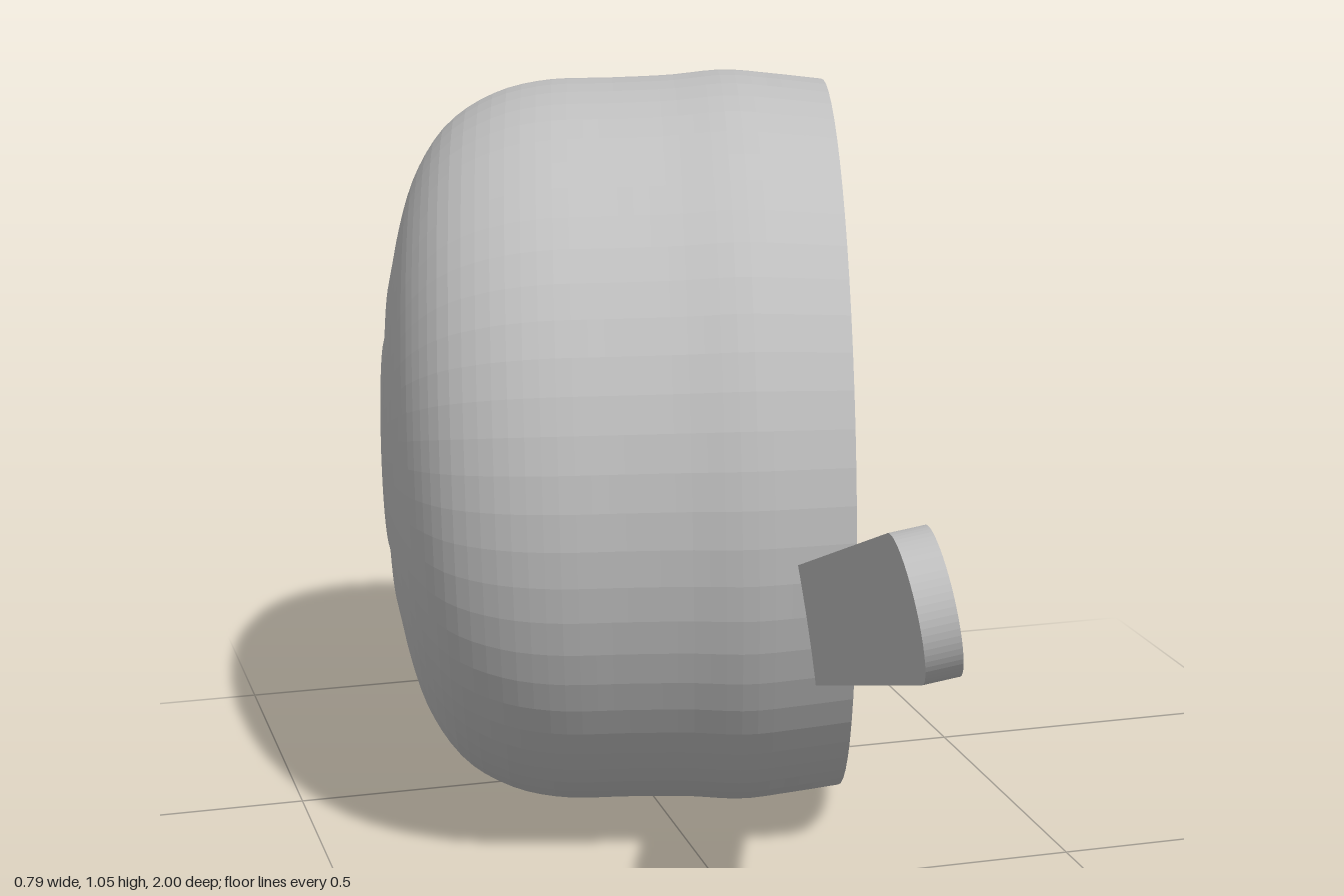
import * as THREE from 'three';

const WALL = 0.03;

// Outer silhouette as [radius, distance from the rim plane], base centre to rim
const outline = [
  [0.0, -0.64], [0.1, -0.638], [0.2, -0.63], [0.3, -0.612], [0.39, -0.583],
  [0.46, -0.535], [0.5, -0.47], [0.517, -0.4], [0.519, -0.3], [0.521, -0.22],
  [0.527, -0.14], [0.52, -0.07], [0.511, 0.0],
];

// Shallow concentric rings pressed into the base, fading outwards
const ripple = (r) => 0.006 * Math.cos((r * Math.PI * 2) / 0.095) * Math.max(0, 1 - r / 0.3);

function wallProfile() {
  const curve = new THREE.CatmullRomCurve3(outline.map(([r, y]) => new THREE.Vector3(r, y, 0)));
  const outer = curve.getSpacedPoints(48).map((p) => {
    const r = Math.max(0, p.x);
    return new THREE.Vector2(r, p.y + (p.y < -0.56 ? ripple(r) : 0));
  });
  // Inner wall: the outer one shrunk by the wall thickness, walked back down
  const inner = outer.map((p) => {
    const s = (0.511 - WALL) / 0.511;
    return new THREE.Vector2(p.x * s, p.y * (1 - WALL / 0.64));
  }).reverse();
  return [...outer, ...inner];
}

export function createModel() {
  const group = new THREE.Group();
  group.name = 'saucepan';
  const metal = new THREE.MeshStandardMaterial({ color: 0xbfbfbf, flatShading: true });
  metal.name = 'grey metal';

  // Bowl, lying on its side with the opening towards +x
  const bowl = new THREE.Mesh(new THREE.LatheGeometry(wallProfile(), 64), metal);
  bowl.name = 'bowl';
  const axis = new THREE.Vector3(0.972, 0.015, 0.235).normalize();
  bowl.quaternion.setFromUnitVectors(new THREE.Vector3(0, 1, 0), axis);
  bowl.position.set(0.27, 0.533, -0.395);
  group.add(bowl);

  // Flat handle: square end inside the wall, round outer end
  const length = 0.98, half = 0.08, thick = 0.04;
  const shape = new THREE.Shape();
  shape.moveTo(0, -half);
  shape.lineTo(length, -half);
  shape.absarc(length, 0, half, -Math.PI / 2, Math.PI / 2, false);
  shape.lineTo(0, half);
  shape.closePath();
  const plate = new THREE.ExtrudeGeometry(shape, { depth: thick, bevelEnabled: false, curveSegments: 16 });
  plate.translate(0, 0, -thick);

  // Handle frame: along its length, across its width, out of its face
  const along = new THREE.Vector3(-0.183, 0.318, 0.927).normalize();
  const across = new THREE.Vector3(-0.13, 0.935, -0.345);
  const face = new THREE.Vector3().crossVectors(along, across).normalize();
  if (face.x < 0) face.negate();
  across.crossVectors(face, along).normalize();
  // Mirror the length axis if needed so the frame stays right-handed
  const handle = new THREE.Mesh(plate, metal);
  handle.name = 'handle';
  handle.quaternion.setFromRotationMatrix(new THREE.Matrix4().makeBasis(along, across, face));
  handle.position.set(0.143, 0.383, 0.02);
  group.add(handle);

  return group;
}
